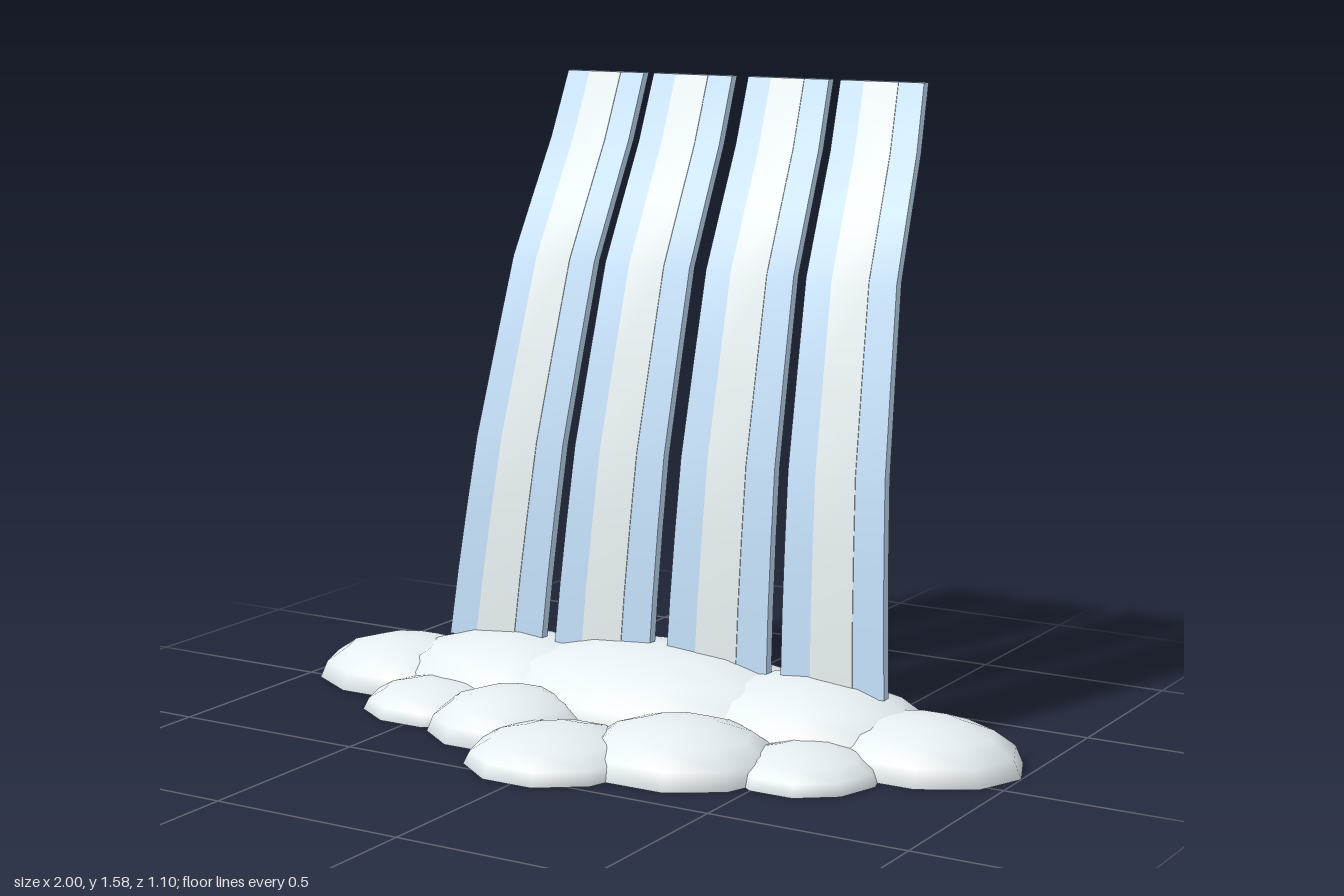
import * as THREE from 'three';

const foamMat = new THREE.MeshStandardMaterial({ color: 0xe6eef2 });
const waterMat = new THREE.MeshStandardMaterial({ color: 0xbfdcf5 });
const streakMat = new THREE.MeshStandardMaterial({ color: 0xe4ecee });

// Side profile of the falling water, bottom to top: [y, z of the middle]
const path = [
  [0.13, -0.135], [0.3, -0.154], [0.47, -0.178], [0.65, -0.207], [0.88, -0.267],
  [1.11, -0.329], [1.26, -0.402], [1.41, -0.476], [1.58, -0.54],
];
const thickness = 0.026;

// Foam mounds: [name, x, z, radius x, height, radius z]
const mounds = [
  ['foamCentre', 0, -0.13, 0.51, 0.185, 0.303],
  ['foamMidRight', -0.42, -0.125, 0.36, 0.16, 0.25],
  ['foamMidLeft', 0.42, -0.125, 0.36, 0.16, 0.25],
  ['foamEndRight', -0.74, -0.1, 0.26, 0.115, 0.21],
  ['foamEndLeft', 0.74, -0.1, 0.26, 0.115, 0.21],
  ['foamFront', -0.01, 0.34, 0.22, 0.085, 0.22],
  ['foamInnerLeft', 0.26, 0.21, 0.25, 0.113, 0.225],
  ['foamInnerRight', -0.25, 0.17, 0.21, 0.105, 0.205],
  ['foamOuterRight', -0.51, 0.11, 0.2, 0.075, 0.174],
  ['foamOuterLeft', 0.555, 0.13, 0.18, 0.072, 0.184],
];

// Half ellipsoid closed by a flat underside
function createMound([name, x, z, rx, h, rz]) {
  const mound = new THREE.Group();
  mound.name = name;
  const dome = new THREE.Mesh(
    new THREE.SphereGeometry(1, 10, 4, 0, Math.PI * 2, 0, Math.PI / 2), foamMat);
  dome.name = 'dome';
  const base = new THREE.Mesh(new THREE.CircleGeometry(1, 10).rotateX(Math.PI / 2), foamMat);
  base.name = 'underside';
  mound.add(dome, base);
  mound.scale.set(rx, h, rz);
  mound.position.set(x, 0, z);
  return mound;
}

// Bends a unit box along the path, tapering between the bottom and top x ranges.
// u0..u1 is the part of the width covered.
function bentStrip(bottom, top, u0, u1, depth, zOffset) {
  const n = path.length - 1;
  const geo = new THREE.BoxGeometry(1, 1, 1, 1, n, 1);
  const p = geo.attributes.position;
  for (let i = 0; i < p.count; i++) {
    const [y, z] = path[Math.round((p.getY(i) + 0.5) * n)];
    const t = (y - path[0][0]) / (path[n][0] - path[0][0]);
    const u = THREE.MathUtils.lerp(u0, u1, p.getX(i) + 0.5);
    const x = THREE.MathUtils.lerp(
      THREE.MathUtils.lerp(bottom[0], bottom[1], u),
      THREE.MathUtils.lerp(top[0], top[1], u), t);
    p.setXYZ(i, x, y, z + zOffset + p.getZ(i) * depth);
  }
  geo.computeVertexNormals();
  return geo;
}

function createStream(name, bottom, top) {
  const stream = new THREE.Group();
  stream.name = name;
  const water = new THREE.Mesh(bentStrip(bottom, top, 0, 1, thickness, 0), waterMat);
  water.name = 'water';
  // Pale streak lying just proud of the front face
  const streak = new THREE.Mesh(
    bentStrip(bottom, top, 0.29, 0.7, 0.002, thickness / 2 + 0.001), streakMat);
  streak.name = 'streak';
  stream.add(water, streak);
  return stream;
}

export function createModel() {
  const model = new THREE.Group();
  model.name = 'waterfall';

  const foam = new THREE.Group();
  foam.name = 'foam';
  mounds.forEach((m) => foam.add(createMound(m)));

  const streams = new THREE.Group();
  streams.name = 'streams';
  streams.add(
    createStream('outerStreamRight', [-0.633, -0.35], [-0.518, -0.287]),
    createStream('innerStreamRight', [-0.31, -0.028], [-0.257, -0.025]),
    createStream('innerStreamLeft', [0.022, 0.308], [0.022, 0.252]),
    createStream('outerStreamLeft', [0.348, 0.63], [0.284, 0.514]),
  );

  model.add(foam, streams);
  return model;
}
